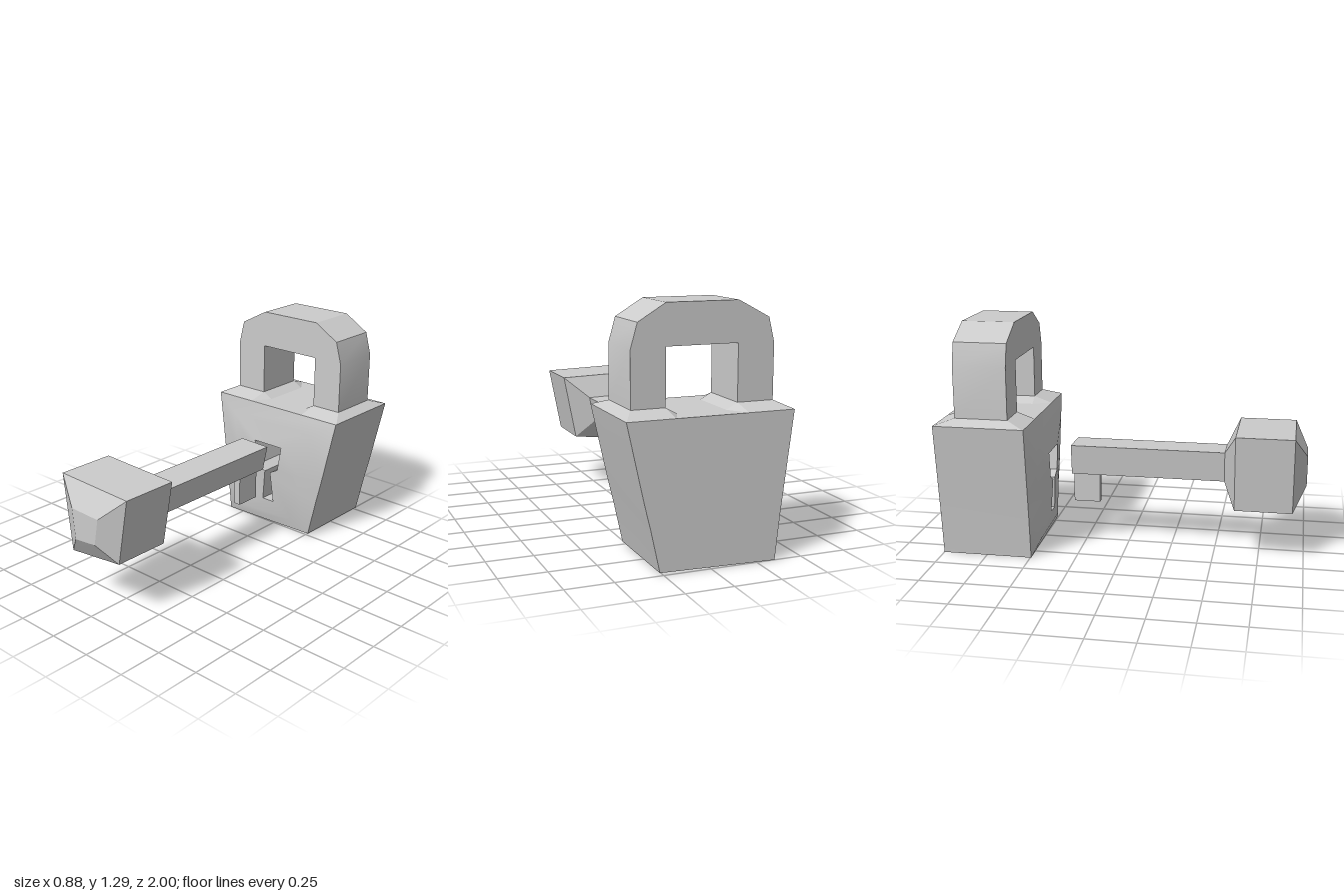
import * as THREE from 'three';
import { toCreasedNormals } from 'three/addons/utils/BufferGeometryUtils.js';

const material = new THREE.MeshStandardMaterial({ color: 0xcccccc });

// Skin a list of rings ([x, y, z] corners, counter-clockwise from +z, back to front) and cap both ends.
function loft(rings, crease) {
  const n = rings[0].length;
  const index = [];
  for (let r = 0; r < rings.length - 1; r++) {
    for (let i = 0; i < n; i++) {
      const a = r * n + i, b = r * n + (i + 1) % n;
      index.push(a, b, b + n, a, b + n, a + n);
    }
  }
  const cap = (ring) => THREE.ShapeUtils.triangulateShape(ring.map(([x, y]) => new THREE.Vector2(x, y)), []);
  const last = (rings.length - 1) * n;
  for (const [a, b, c] of cap(rings[0])) index.push(a, c, b);
  for (const [a, b, c] of cap(rings[rings.length - 1])) index.push(last + a, last + b, last + c);
  const geometry = new THREE.BufferGeometry();
  geometry.setAttribute('position', new THREE.Float32BufferAttribute(rings.flat(2), 3));
  geometry.setIndex(index);
  return toCreasedNormals(geometry, crease);
}

const atZ = (points, z) => points.map(([x, y]) => [x, y, z]);

function part(name, geometry) {
  const mesh = new THREE.Mesh(geometry, material);
  mesh.name = name;
  return mesh;
}

// Tapered lock body with a bulging front and a sunken keyhole.
function lockBody() {
  const outline = [
    [-0.44, 0.76], [-0.39, 0.36], [-0.375, 0.24], [-0.35, 0],
    [0.27, 0.015], [0.32, 0.24], [0.35, 0.36], [0.44, 0.76],
  ];
  const keyhole = [
    [-0.11, 0.54, -0.44], [-0.085, 0.39, -0.44], [-0.03, 0.36, -0.44], [-0.05, 0.17, -0.45],
    [0.03, 0.17, -0.45], [0.01, 0.36, -0.44], [0.065, 0.39, -0.44], [0.09, 0.54, -0.44],
  ];
  const bulge = outline.map(([x, y], i) => [
    THREE.MathUtils.lerp(x, keyhole[i][0], 0.43),
    THREE.MathUtils.lerp(y, keyhole[i][1], 0.43),
    -0.464,
  ]);
  return loft([atZ(outline, -1), atZ(outline, -0.495), bulge, keyhole, atZ(keyhole, -0.75)], 0.6);
}

// Sloped collar under one leg of the shackle; side is -1 or 1.
function collar(side, inner, outer) {
  const base = [[0.44, 0.5], [0.19, 0.5], [inner - 0.06, 0.6], [inner - 0.06, 0.895], [0.19, 1], [0.44, 1]];
  const top = [[outer, 0.6], [inner, 0.6], [inner, 0.6], [inner, 0.895], [inner, 0.895], [outer, 0.895]];
  const ring = (points, height) => {
    const placed = points.map(([x, y]) => [x * side, y, height]);
    return side < 0 ? placed : placed.reverse();
  };
  return loft([ring(base, 0.76), ring(top, 0.793)], 0.1).rotateX(-Math.PI / 2);
}

// Angular arch of the padlock.
function shackle() {
  const shape = new THREE.Shape([
    [-0.375, 0.79], [-0.18, 0.79], [-0.18, 1.085], [0.2, 1.085], [0.2, 0.79], [0.38, 0.79],
    [0.38, 1.08], [0.345, 1.205], [0.2, 1.293], [-0.18, 1.293], [-0.345, 1.205], [-0.375, 1.08],
  ].map(([x, y]) => new THREE.Vector2(x, y)));
  const geometry = new THREE.ExtrudeGeometry(shape, { depth: 0.295, bevelEnabled: false });
  return toCreasedNormals(geometry.translate(0, 0, -0.895), 0.35);
}

export function createModel() {
  const model = new THREE.Group();

  const padlock = new THREE.Group();
  padlock.name = 'padlock';
  padlock.add(
    part('lockBody', lockBody()),
    part('rightCollar', collar(-1, 0.18, 0.375)),
    part('leftCollar', collar(1, 0.2, 0.38)),
    part('shackle', shackle()),
  );

  // Key: one crooked section for the shaft, a larger one for the grip.
  const small = [[-0.105, 0.59], [-0.088, 0.42], [0.058, 0.435], [0.088, 0.585]];
  const large = [[-0.25, 0.72], [-0.2, 0.292], [0.157, 0.333], [0.23, 0.707]];
  const key = new THREE.Group();
  key.name = 'key';
  key.add(
    part('keyGrip', loft([atZ(small, 0.55), atZ(large, 0.615), atZ(large, 0.93), atZ(small, 1)], 0.1)),
    part('keyShaft', loft([atZ(small, -0.315), atZ(small, 0.55)], 0.1)),
    part('keyBit', new THREE.BoxGeometry(0.04, 0.21, 0.15).translate(-0.012, 0.345, -0.239)),
  );

  model.add(padlock, key);
  return model;
}
